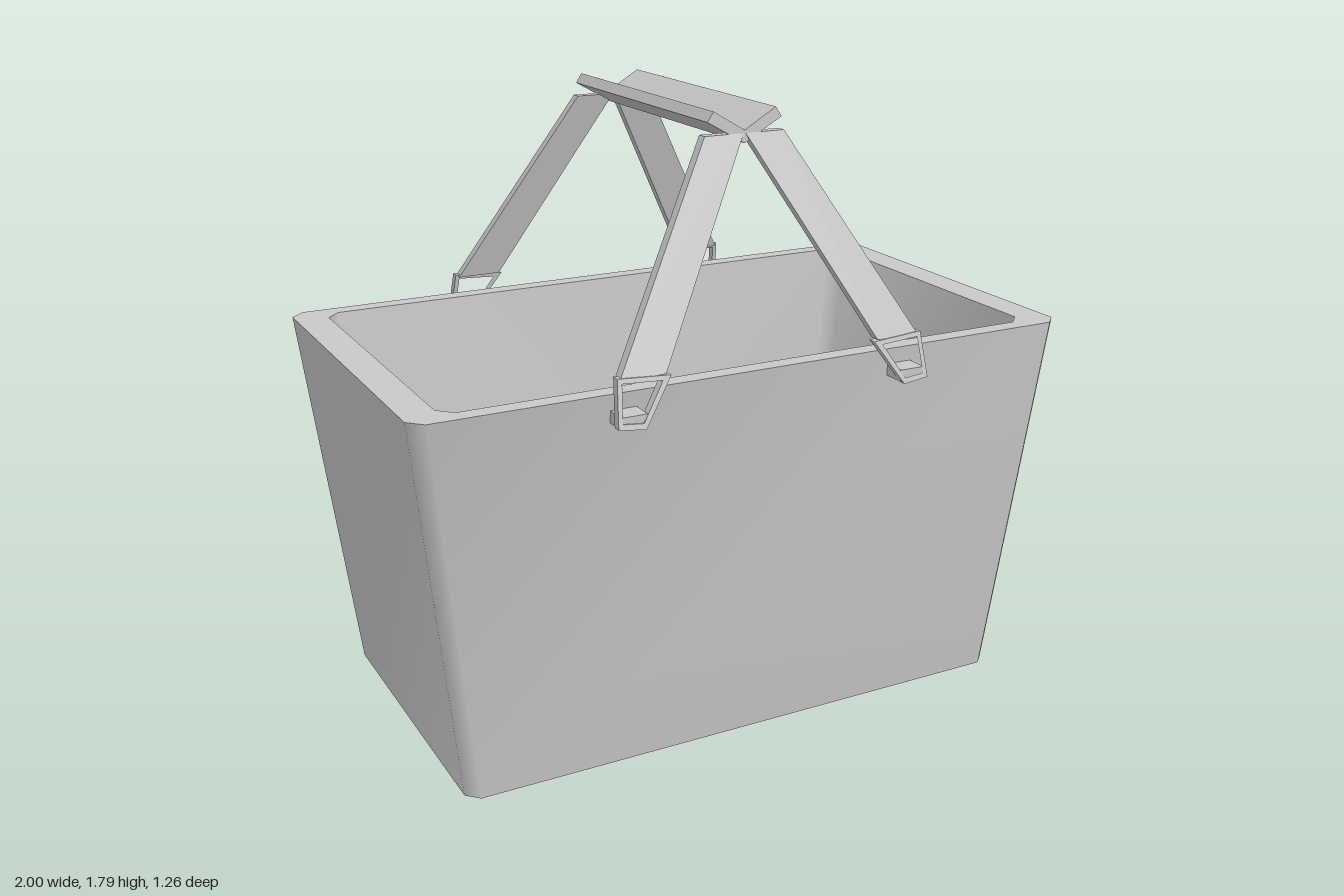
import * as THREE from 'three';
import { toCreasedNormals } from 'three/addons/utils/BufferGeometryUtils.js';

// Lofts rings of a corner-cut rectangle: [half width, height, half depth, corner cut]
function loftRings(rings) {
  const pos = [], idx = [], n = 8;
  for (const [w, y, d, c] of rings) {
    const loop = [
      [w, -d + c], [w, d - c], [w - c, d], [-w + c, d],
      [-w, d - c], [-w, -d + c], [-w + c, -d], [w - c, -d],
    ];
    for (const [x, z] of loop) pos.push(x, y, z);
  }
  for (let r = 0; r < rings.length - 1; r++) {
    for (let k = 0; k < n; k++) {
      const a = r * n + k, b = r * n + (k + 1) % n;
      if (rings[r][0] > 0) idx.push(a, a + n, b);
      if (rings[r + 1][0] > 0) idx.push(b, a + n, b + n);
    }
  }
  const g = new THREE.BufferGeometry();
  g.setAttribute('position', new THREE.Float32BufferAttribute(pos, 3));
  g.setIndex(idx);
  return toCreasedNormals(g, Math.PI / 3.2);
}

// Extrudes an outline, then leans it so its middle runs from z0 at y0 to z1 at y1
function leaningPlate(points, hole, depth, [y0, z0], [y1, z1]) {
  const toVec = (list) => list.map(([x, y]) => new THREE.Vector2(x, y));
  const shape = new THREE.Shape(toVec(points));
  if (hole) shape.holes.push(new THREE.Path(toVec(hole)));
  const g = new THREE.ExtrudeGeometry(shape, { depth, bevelEnabled: false });
  const p = g.attributes.position;
  for (let i = 0; i < p.count; i++) {
    const t = (p.getY(i) - y0) / (y1 - y0);
    p.setZ(i, p.getZ(i) - depth / 2 + z0 + (z1 - z0) * t);
  }
  g.computeVertexNormals();
  return g;
}

export function createModel() {
  const grey = new THREE.MeshStandardMaterial({ color: 0xc8c8c8 });
  grey.name = 'plain grey';
  const model = new THREE.Group();
  model.name = 'basket';

  const add = (parent, name, geometry) => {
    const mesh = new THREE.Mesh(geometry, grey);
    mesh.name = name;
    parent.add(mesh);
    return mesh;
  };

  // Hollow tapered tub: base, outer wall, rim, inner wall, floor
  add(model, 'tub', loftRings([
    [0, 0, 0, 0],
    [0.87, 0, 0.487, 0.035],
    [1.0, 1.12, 0.557, 0.04],
    [0.905, 1.12, 0.505, 0.04],
    [0.785, 0.1, 0.443, 0.035],
    [0, 0.1, 0, 0],
  ]));

  // V-section grip along z
  const grip = new THREE.Shape([
    [0, 1.703], [0.112, 1.766], [0.094, 1.793], [0, 1.738], [-0.094, 1.793], [-0.112, 1.766],
  ].map(([x, y]) => new THREE.Vector2(x, y)));
  const gripGeometry = new THREE.ExtrudeGeometry(grip, { depth: 0.83, bevelEnabled: false });
  gripGeometry.translate(0, 0, -0.415);
  add(model, 'grip', gripGeometry);

  // Straps, buckles and pegs: a pair at the front, the same turned round at the back
  for (const end of ['front', 'back']) {
    const group = new THREE.Group();
    group.name = end + 'Straps';
    if (end === 'back') group.rotation.y = Math.PI;
    for (const s of [1, -1]) {
      const side = (list) => list.map(([x, y]) => [s * x, y]);
      add(group, 'strap', leaningPlate(
        side([[0.003, 1.73], [0.12, 1.73], [0.457, 1.165], [0.325, 1.165]]),
        null, 0.03, [1.73, 0.4], [1.165, 0.58]));
      add(group, 'buckle', leaningPlate(
        side([[0.312, 1.162], [0.465, 1.172], [0.476, 1.045], [0.398, 1.036]]),
        side([[0.338, 1.151], [0.453, 1.158], [0.462, 1.058], [0.403, 1.052]]),
        0.024, [1.17, 0.585], [1.04, 0.615]));
      const peg = add(group, 'peg', new THREE.BoxGeometry(0.075, 0.034, 0.085));
      peg.position.set(s * 0.428, 1.058, 0.577);
    }
    model.add(group);
  }
  return model;
}
